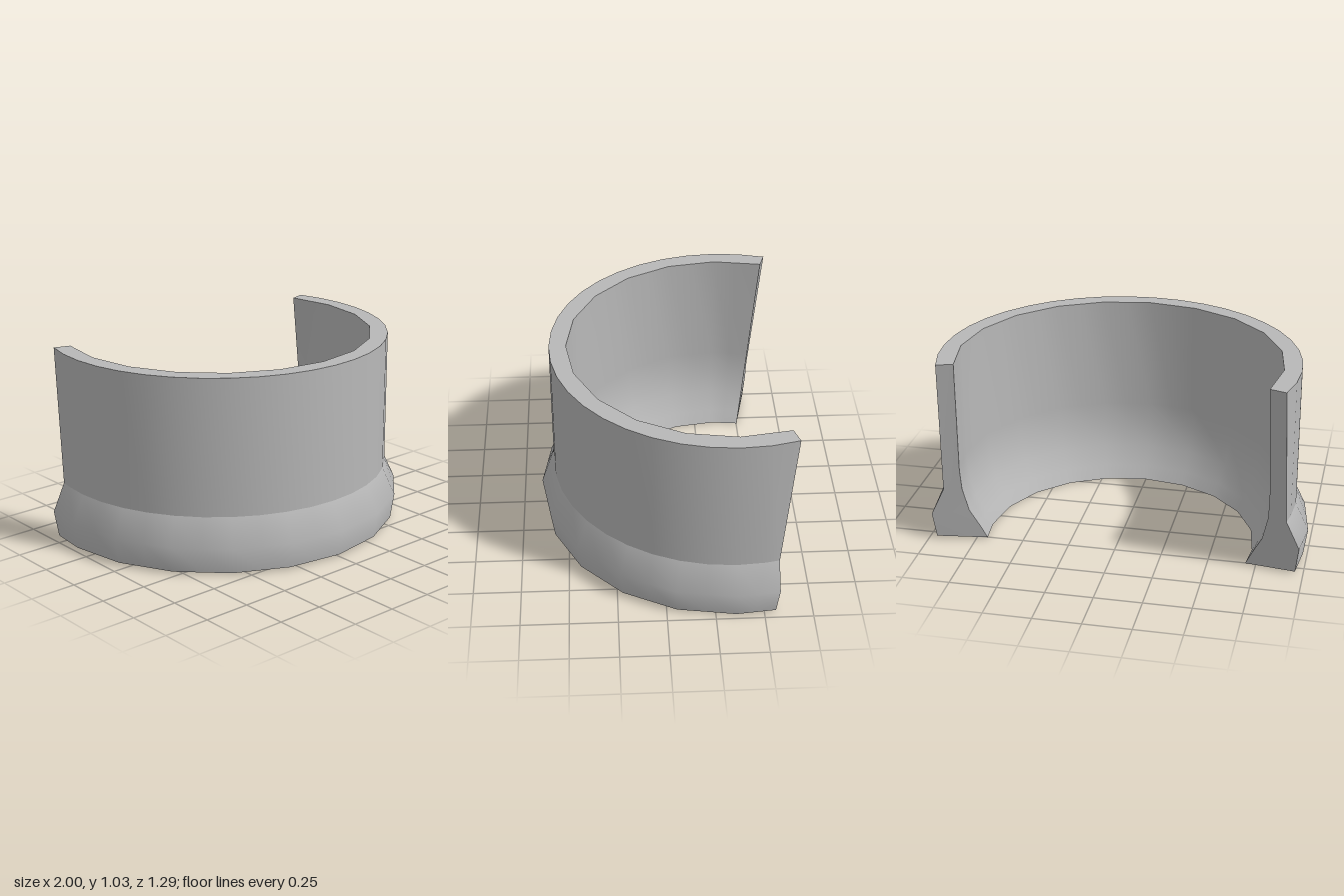
import * as THREE from 'three';

const CENTRE_Z = -0.355, STEPS = 12;

// Cross-section [radius, height, finely rounded?], from the top outer rim down, under and up the inside
const P = {
  rimOut: [0.93, 1.035, true],
  shoulder: [0.93, 0.3, true],
  bulge: [1.0, 0.15, false],
  footOut: [0.98, 0.012, false],
  footIn: [0.71, 0, false],
  lip1: [0.745, 0.07, false],
  lip2: [0.8, 0.17, false],
  lip3: [0.832, 0.3, false],
  lip4: [0.84, 0.42, false],
  rimIn: [0.84, 1.035, false],
};

// The open ends lean backwards above the shoulder
const endAngle = (y) => (y < 0.3 ? 102 + 5 * y : 103.5 + 6.1 * (y - 0.3));

// One point of a ring; coarse rings put their odd points midway along a chord
function ringPoint([r, y, fine], i) {
  if (!fine && i % 2 !== 0) {
    return ringPoint([r, y, fine], i - 1).add(ringPoint([r, y, fine], i + 1)).multiplyScalar(0.5);
  }
  const degrees = Math.abs(i) === STEPS ? Math.sign(i) * endAngle(y) : i * 9;
  const a = THREE.MathUtils.degToRad(degrees);
  return new THREE.Vector3(r * Math.sin(a), y, CENTRE_Z + r * Math.cos(a));
}

function makeGeometry(points, index) {
  const g = new THREE.BufferGeometry().setFromPoints(points);
  g.setIndex(index);
  g.computeVertexNormals();
  return g;
}

// Smooth band through several rings
function band(rings) {
  const points = [], index = [], n = 2 * STEPS + 1;
  rings.forEach((ring) => {
    for (let i = -STEPS; i <= STEPS; i++) points.push(ringPoint(ring, i));
  });
  for (let k = 0; k < rings.length - 1; k++) {
    for (let i = 0; i < n - 1; i++) {
      const a = k * n + i, b = a + n;
      index.push(a, b, b + 1, a, b + 1, a + 1);
    }
  }
  return makeGeometry(points, index);
}

// Cut face closing one end of the C
function endFace(side) {
  const rings = Object.values(P).reverse();
  const outline = rings.map(([r, y]) => new THREE.Vector2(r, y));
  const index = [];
  THREE.ShapeUtils.triangulateShape(outline, []).forEach(([a, b, c]) => {
    const area = (outline[b].x - outline[a].x) * (outline[c].y - outline[a].y)
      - (outline[b].y - outline[a].y) * (outline[c].x - outline[a].x);
    index.push(...(area * side < 0 ? [a, b, c] : [a, c, b]));
  });
  return makeGeometry(rings.map((ring) => ringPoint(ring, side * STEPS)), index);
}

export function createModel() {
  const group = new THREE.Group();
  group.name = 'openCollar';
  const grey = new THREE.MeshStandardMaterial({ color: 0xb8b8b8 });
  grey.name = 'plainGrey';
  const add = (name, geometry) => {
    const mesh = new THREE.Mesh(geometry, grey);
    mesh.name = name;
    group.add(mesh);
  };

  add('outerWall', band([P.rimOut, P.shoulder]));
  add('flaredFoot', band([P.shoulder, P.bulge, P.footOut]));
  add('underside', band([P.footOut, P.footIn]));
  add('innerWall', band([P.footIn, P.lip1, P.lip2, P.lip3, P.lip4, P.rimIn]));
  add('topRim', band([P.rimIn, P.rimOut]));
  add('leftEnd', endFace(1));
  add('rightEnd', endFace(-1));
  return group;
}
